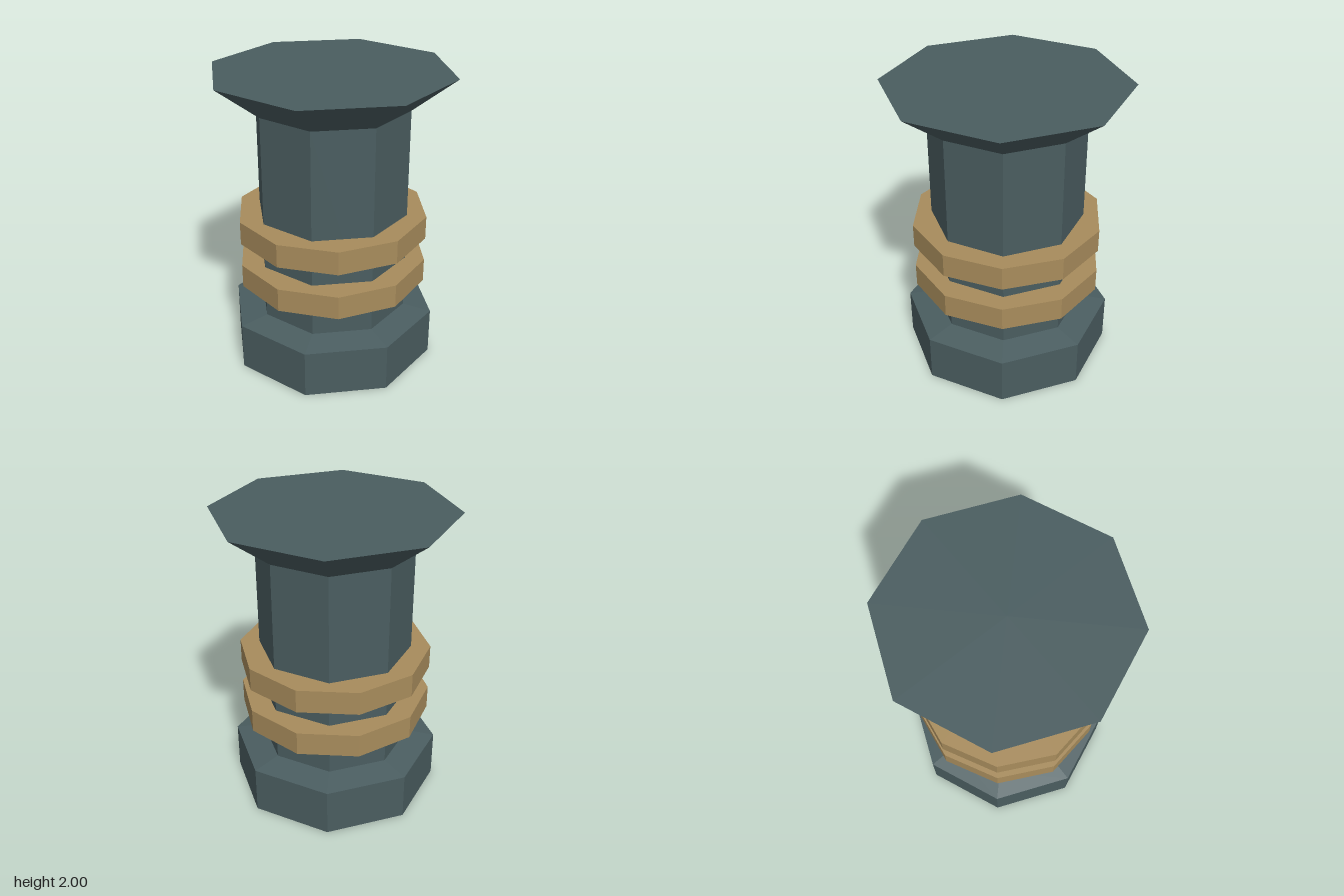
import * as THREE from 'three';

export function createModel() {
  const group = new THREE.Group();
  const stone = new THREE.MeshStandardMaterial({ color: 0x4a5d60, flatShading: true });
  const brass = new THREE.MeshStandardMaterial({ color: 0xa88c5c, flatShading: true });

  const add = (name, geometry, material, y = 0) => {
    const mesh = new THREE.Mesh(geometry, material);
    mesh.name = name;
    mesh.position.y = y;
    group.add(mesh);
  };

  // Octagonal post: wide foot, straight shaft and flared flat cap
  const profile = [
    [0, 0], [0.707, 0], [0.707, 0.325], [0.515, 0.357],
    [0.515, 1.777], [0.802, 2], [0, 2],
  ].map(([r, y]) => new THREE.Vector2(r, y));
  add('post', new THREE.LatheGeometry(profile, 8), stone);

  // Two ten-sided collars around the shaft, corners on the x axis
  const collar = new THREE.CylinderGeometry(0.645, 0.645, 0.16, 10, 1, false, Math.PI / 2);
  add('lowerCollar', collar, brass, 0.648);
  add('upperCollar', collar, brass, 0.97);

  return group;
}
